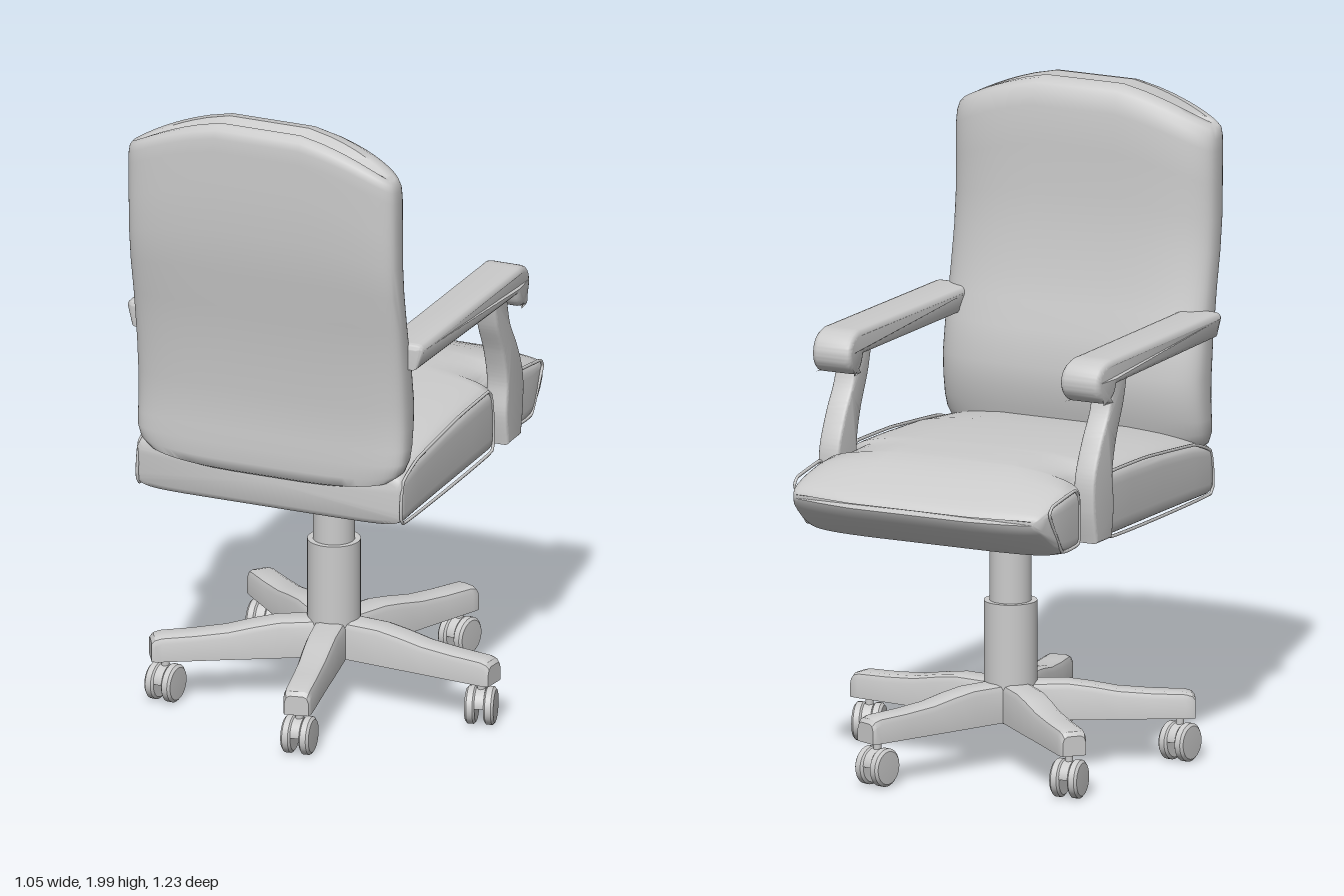
import * as THREE from 'three';
import { toCreasedNormals } from 'three/addons/utils/BufferGeometryUtils.js';

const material = new THREE.MeshStandardMaterial({ color: 0xcccccc });
const V = (x, y, z) => new THREE.Vector3(x, y, z);
const lerp = THREE.MathUtils.lerp;
const smooth = THREE.MathUtils.smoothstep;

function add(parent, name, geometry, x = 0, y = 0, z = 0) {
  const mesh = new THREE.Mesh(geometry, material);
  mesh.name = name;
  mesh.position.set(x, y, z);
  parent.add(mesh);
  return mesh;
}

// Closed skin over a list of equal-length rings, capped at both ends, faces outward
function loft(rings, crease = 0.7) {
  const n = rings[0].length, pos = [], idx = [];
  rings.forEach(r => r.forEach(p => pos.push(p.x, p.y, p.z)));
  for (let i = 0; i < rings.length - 1; i++)
    for (let j = 0; j < n; j++) {
      const a = i * n + j, b = i * n + (j + 1) % n;
      idx.push(a, b, b + n, a, b + n, a + n);
    }
  [0, rings.length - 1].forEach((k, end) => {
    const c = rings[k].reduce((s, p) => s.add(p), V(0, 0, 0)).divideScalar(n);
    const ci = pos.length / 3;
    pos.push(c.x, c.y, c.z);
    for (let j = 0; j < n; j++) {
      const a = k * n + j, b = k * n + (j + 1) % n;
      if (end) idx.push(ci, a, b); else idx.push(ci, b, a);
    }
  });
  const at = i => V(pos[3 * i], pos[3 * i + 1], pos[3 * i + 2]);
  let volume = 0;
  for (let i = 0; i < idx.length; i += 3) volume += at(idx[i]).dot(at(idx[i + 1]).cross(at(idx[i + 2])));
  if (volume < 0) idx.reverse();
  const g = new THREE.BufferGeometry();
  g.setAttribute('position', new THREE.Float32BufferAttribute(pos, 3));
  g.setIndex(idx);
  return toCreasedNormals(g, crease);
}

// Unit rounded square (superellipse) as [u, v] pairs
function roundSquare(power, count = 56) {
  const f = c => Math.sign(c) * Math.pow(Math.abs(c), 2 / power);
  return Array.from({ length: count }, (_, i) => {
    const a = ((i + 0.5) / count) * Math.PI * 2;
    return [f(Math.cos(a)), f(Math.sin(a))];
  });
}

// Extruded side profile: shape x = -z, shape y = y, thickness centred on x
function sideExtrude(shape, width, bevel) {
  const g = new THREE.ExtrudeGeometry(shape, {
    depth: width - 2 * bevel, bevelEnabled: true, bevelThickness: bevel, bevelSize: bevel,
    bevelOffset: -bevel, bevelSegments: 3, curveSegments: 14,
  });
  g.translate(0, 0, -(width / 2 - bevel));
  g.rotateY(Math.PI / 2);
  return g;
}

function backrest() {
  // y, back z, front z, half width
  const rows = [
    [0.862, 0.535, 0.45, 0.36], [0.87, 0.548, 0.42, 0.395], [0.9, 0.552, 0.405, 0.422], [0.95, 0.552, 0.39, 0.435],
    [1.0, 0.55, 0.375, 0.437], [1.06, 0.548, 0.363, 0.437], [1.13, 0.552, 0.358, 0.437], [1.24, 0.56, 0.378, 0.437],
    [1.32, 0.57, 0.4, 0.437], [1.4, 0.58, 0.417, 0.437], [1.53, 0.603, 0.436, 0.437], [1.66, 0.616, 0.445, 0.437],
    [1.8, 0.62, 0.445, 0.437], [1.92, 0.62, 0.446, 0.437], [1.96, 0.62, 0.453, 0.436],
    [1.985, 0.615, 0.468, 0.432], [1.997, 0.603, 0.49, 0.424], [2.0, 0.585, 0.52, 0.41]];
  const section = roundSquare(5);
  return loft(rows.map(([y, zb, zf, hw]) => section.map(([u, v]) => {
    const wrap = v < 0 ? 0.035 * Math.pow(Math.abs(u), 4) : 0;
    const arch = 0.115 * u * u * smooth(y, 1.3, 2) - 0.03 * Math.pow(u, 4) * (1 - smooth(y, 0.86, 1));
    return V(u * hw, y - arch, lerp(zf, zb, (v + 1) / 2) + wrap);
  })), 1);
}

function seatCushion() {
  // z, bottom y, edge top y, half width
  const rows = [
    [0.527, 0.775, 0.9, 0.42], [0.52, 0.76, 0.92, 0.43], [0.5, 0.755, 0.93, 0.432], [0.4, 0.755, 0.95, 0.432],
    [0.2, 0.755, 0.97, 0.432], [0, 0.755, 0.978, 0.432], [-0.12, 0.755, 0.98, 0.432], [-0.15, 0.755, 0.98, 0.43],
    [-0.165, 0.755, 0.98, 0.395], [-0.24, 0.755, 0.98, 0.392], [-0.31, 0.755, 0.976, 0.395], [-0.325, 0.755, 0.974, 0.43],
    [-0.4, 0.757, 0.965, 0.432], [-0.46, 0.765, 0.955, 0.432], [-0.51, 0.79, 0.945, 0.43], [-0.56, 0.823, 0.932, 0.425],
    [-0.595, 0.85, 0.92, 0.418], [-0.613, 0.87, 0.91, 0.41], [-0.62, 0.885, 0.9, 0.4]];
  const section = roundSquare(8);
  return loft(rows.map(([z, yb, yt, hw]) => section.map(([u, v]) => {
    const crown = v > 0 ? 0.032 * (1 - u * u) * v * smooth(z, -0.62, -0.3) : 0;
    const bow = 0.05 * u * u * (1 - smooth(z, -0.62, -0.36));
    return V(u * hw, lerp(yb, yt, (v + 1) / 2) + crown, z + bow);
  })), 0.9);
}

function armPad() {
  const s = new THREE.Shape();
  s.moveTo(-0.49, 1.255);
  s.lineTo(0.2, 1.255);
  s.quadraticCurveTo(0.215, 1.205, 0.255, 1.205);
  s.absarc(0.252, 1.267, 0.062, -Math.PI / 2, Math.PI * 0.4, false);
  s.quadraticCurveTo(0.25, 1.335, 0.22, 1.335);
  s.lineTo(-0.47, 1.335);
  s.quadraticCurveTo(-0.49, 1.335, -0.49, 1.315);
  s.closePath();
  return s;
}

function armSupport() {
  const s = new THREE.Shape();
  const p = pts => pts.map(q => new THREE.Vector2(...q));
  s.moveTo(0.085, 1.27);
  s.splineThru(p([[0.11, 1.18], [0.155, 1.08], [0.18, 0.98], [0.172, 0.88], [0.185, 0.78]]));
  s.lineTo(0.285, 0.78);
  s.splineThru(p([[0.303, 0.88], [0.3, 0.98], [0.258, 1.08], [0.205, 1.17], [0.18, 1.27]]));
  s.closePath();
  return s;
}

function baseLeg() {
  // distance from hub, half width, top y
  const rows = [[0, 0.05, 0.25], [0.17, 0.048, 0.25], [0.24, 0.047, 0.24], [0.32, 0.045, 0.225], [0.42, 0.044, 0.217],
    [0.52, 0.043, 0.213], [0.54, 0.041, 0.207], [0.55, 0.037, 0.195]];
  return loft(rows.map(([r, w, t]) => [
    V(r, 0.135, -w), V(r, t - 0.022, -w), V(r, t - 0.006, -w * 0.85), V(r, t, -w * 0.55),
    V(r, t, w * 0.55), V(r, t - 0.006, w * 0.85), V(r, t - 0.022, w), V(r, 0.135, w)]), 0.5);
}

function caster() {
  const g = new THREE.Group();
  g.name = 'caster';
  for (const s of [-1, 1]) {
    const profile = [[0, -0.016], [0.05, -0.016], [0.058, -0.01], [0.058, 0.008], [0.05, 0.015], [0, 0.017]]
      .map(p => new THREE.Vector2(...p));
    const wheel = new THREE.LatheGeometry(profile, 28);
    wheel.rotateZ(-s * Math.PI / 2);
    add(g, 'casterWheel', toCreasedNormals(wheel, 0.6), s * 0.029, 0.058, 0);
  }
  // hood between and over the wheels
  const hood = new THREE.CylinderGeometry(0.05, 0.05, 0.028, 20, 1, false, 0, Math.PI);
  hood.rotateZ(Math.PI / 2);
  add(g, 'casterHood', hood, 0, 0.062, 0).material = Object.assign(material.clone(), { side: THREE.DoubleSide });
  add(g, 'casterStem', new THREE.CylinderGeometry(0.012, 0.012, 0.09, 12), 0, 0.1, 0);
  return g;
}

export function createModel() {
  const model = new THREE.Group();
  model.name = 'officeChair';
  const chair = new THREE.Group();
  chair.name = 'chair';
  chair.position.x = -0.03;
  model.add(chair);

  add(chair, 'backrest', backrest());
  add(chair, 'seatCushion', seatCushion());

  // Arms and seat side piping, mirrored
  for (const s of [-1, 1]) {
    const pad = sideExtrude(armPad(), 0.13, 0.018);
    const p = pad.attributes.position;
    for (let i = 0; i < p.count; i++) {
      const z = p.getZ(i);
      const lower = p.getY(i) < 1.28 && z > -0.19 ? 0.8 : 1;
      p.setX(i, s * (0.425 + p.getX(i) * lower + 0.012 * (1 - Math.pow((z - 0.08) / 0.3, 2))));
    }
    if (s < 0) { // restore outward faces after mirroring
      for (let i = 0; i < p.count; i += 3)
        for (const k of ['X', 'Y', 'Z']) {
          const a = p['get' + k](i + 1);
          p['set' + k](i + 1, p['get' + k](i + 2));
          p['set' + k](i + 2, a);
        }
    }
    add(chair, 'armPad', toCreasedNormals(pad, 0.6));
    const support = add(chair, 'armSupport', toCreasedNormals(sideExtrude(armSupport(), 0.07, 0.01), 0.6), s * 0.43);
    support.scale.x = 1;
    const outlines = [
      [[0.51, 0.77], [0.51, 0.9], [0.4, 0.94], [0.1, 0.965], [-0.12, 0.968], [-0.145, 0.94], [-0.145, 0.77]],
      [[-0.335, 0.79], [-0.335, 0.93], [-0.36, 0.955], [-0.5, 0.935], [-0.52, 0.91], [-0.44, 0.785]]];
    for (const o of outlines) {
      const path = new THREE.CatmullRomCurve3(o.map(([z, y]) => V(s * 0.429, y, z)), true, 'catmullrom', 0.15);
      add(chair, 'seatPiping', new THREE.TubeGeometry(path, 70, 0.005, 6, true));
    }
  }

  // Plate under the seat, waisted at the middle
  const plate = new THREE.Shape([[-0.23, -0.39], [0.23, -0.39], [0.23, -0.27], [0.15, -0.2], [0.15, 0.08], [0.23, 0.15],
    [0.23, 0.31], [-0.23, 0.31], [-0.23, 0.15], [-0.15, 0.08], [-0.15, -0.2], [-0.23, -0.27]].map(q => new THREE.Vector2(...q)));
  const plateGeo = new THREE.ExtrudeGeometry(plate, { depth: 0.025, bevelEnabled: false });
  plateGeo.rotateX(-Math.PI / 2);
  add(chair, 'seatPlate', plateGeo, 0, 0.733, 0);

  // Tapered mount, gas column, base and casters share one axis
  const pedestal = new THREE.Group();
  pedestal.name = 'pedestal';
  pedestal.position.z = 0.045;
  chair.add(pedestal);
  const rect = (y, x, z) => [V(-x, y, -z), V(x, y, -z), V(x, y, z), V(-x, y, z)];
  add(pedestal, 'seatMount', loft([rect(0.68, 0.092, 0.105), rect(0.695, 0.1, 0.112),
    rect(0.73, 0.128, 0.14), rect(0.745, 0.128, 0.14)], 0.3));
  add(pedestal, 'upperColumn', new THREE.CylinderGeometry(0.063, 0.063, 0.25, 32), 0, 0.585, 0);
  add(pedestal, 'lowerColumn', new THREE.CylinderGeometry(0.08, 0.08, 0.29, 32), 0, 0.35, 0);
  add(pedestal, 'hubCap', new THREE.CylinderGeometry(0.06, 0.05, 0.03, 24), 0, 0.14, 0);
  const turns = [0.25, 0.1, -0.1, 0.1, -0.2];
  for (let i = 0; i < 5; i++) {
    const a = (6 + 72 * i) * Math.PI / 180;
    add(pedestal, 'baseLeg', baseLeg()).rotation.y = -a;
    const c = caster();
    c.position.set(0.505 * Math.cos(a), 0, 0.505 * Math.sin(a));
    c.rotation.y = turns[i];
    pedestal.add(c);
  }
  return model;
}
